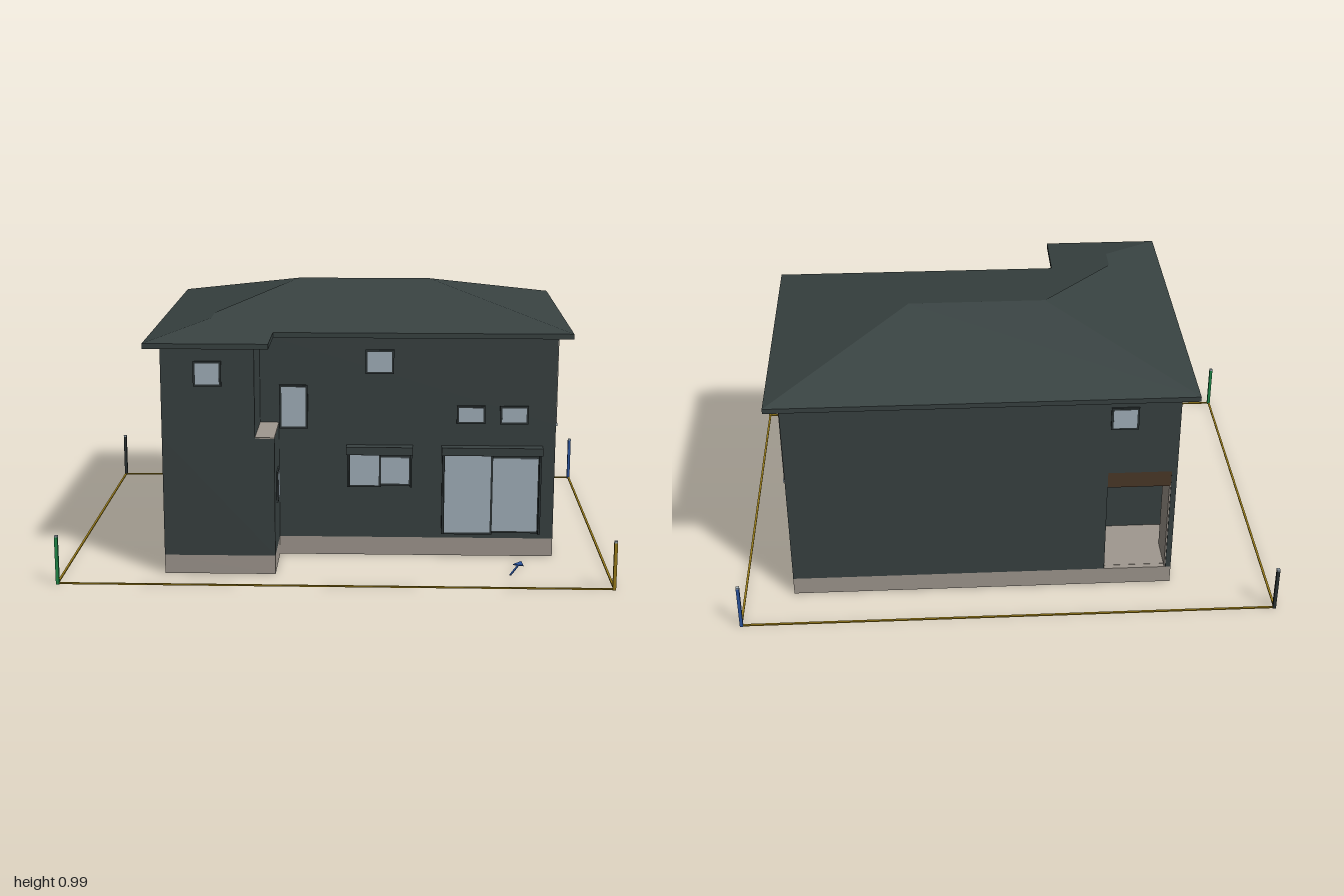
import * as THREE from 'three';

const mat = (name, color) => Object.assign(new THREE.MeshStandardMaterial({ color }), { name });

export function createModel() {
  const M = {
    wall: mat('dark wall', 0x384141),
    roof: mat('roof', 0x384241),
    beige: mat('beige concrete', 0xa0988f),
    glass: mat('glass', 0xa3b2bc),
    trim: mat('dark trim', 0x2b3233),
    wood: mat('brown wood', 0x4b3828),
    floor: mat('dark brown floor', 0x3a2a22),
    green: mat('green', 0x1f8a48),
    yellow: mat('yellow', 0x9a7d1a),
    blue: mat('blue', 0x2a55a0),
  };
  const root = new THREE.Group();
  root.name = 'house';

  const add = (name, geo, m) => {
    const mesh = new THREE.Mesh(geo, m);
    mesh.name = name;
    root.add(mesh);
    return mesh;
  };
  // box from its limits
  const box = (name, m, x0, x1, y0, y1, z0, z1) => {
    const g = new THREE.BoxGeometry(x1 - x0, y1 - y0, z1 - z0);
    g.translate((x0 + x1) / 2, (y0 + y1) / 2, (z0 + z1) / 2);
    return add(name, g, m);
  };
  // floor plan of [x, z] corners raised from y0 to y1
  const plan = (name, m, pts, y0, y1, hole) => {
    const v = (list) => list.map(([x, z]) => new THREE.Vector2(x, -z));
    const shape = new THREE.Shape(v(pts));
    if (hole) shape.holes.push(new THREE.Path(v(hole)));
    const g = new THREE.ExtrudeGeometry(shape, { depth: y1 - y0, bevelEnabled: false });
    g.rotateX(-Math.PI / 2).translate(0, y0, 0);
    return add(name, g, m);
  };

  // L-shaped outline with the wing at the front, inset by t
  const ell = (x0, x1, z0, z1, wx, wz, t = 0) => [
    [x0 + t, z0 + t], [x1 - t, z0 + t], [x1 - t, z1 - t],
    [wx - t, z1 - t], [wx - t, wz - t], [x0 + t, wz - t],
  ];
  const X0 = -0.625, X1 = 0.81, Z0 = -0.55, Z1 = 0.365, WX = -0.22, WZ = 0.6;

  // foundation ring and floor
  plan('foundation', M.beige, ell(X0, X1, Z0, Z1, WX, WZ), 0, 0.07, ell(X0, X1, Z0, Z1, WX, WZ, 0.035));
  plan('floor', M.floor, ell(X0, X1, Z0, Z1, WX, WZ, 0.03), 0.055, 0.069);

  // lower storey with the porch notch, upper storey
  plan('lowerWalls', M.wall, [
    [X0, WZ], [WX, WZ], [WX, Z1], [X1, Z1], [X1, Z0], [-0.37, Z0], [-0.37, -0.28], [X0, -0.28],
  ], 0.07, 0.51);
  plan('upperWalls', M.wall, ell(X0, X1, Z0, Z1, -0.29, WZ), 0.51, 0.85);
  box('wingLedge', M.beige, -0.29, WX, 0.51, 0.514, Z1, WZ);

  // porch
  box('porchSlab', M.beige, X0 + 0.02, -0.37, 0.015, 0.071, Z0 + 0.02, -0.28);
  box('porchCeiling', M.wood, X0 + 0.001, -0.37, 0.445, 0.51, Z0 + 0.001, -0.28);
  box('porchPillar', M.wall, X0, X0 + 0.02, 0.07, 0.51, Z0, -0.4);
  box('porchPillarLining', M.beige, X0 + 0.02, X0 + 0.025, 0.07, 0.445, Z0 + 0.004, -0.402);

  // light upper cladding on the side
  box('sideCladding', M.beige, X1, X1 + 0.003, 0.515, 0.85, -0.54, 0.36);
  box('claddingFlashing', M.glass, X1, X1 + 0.006, 0.507, 0.516, -0.54, 0.36);

  // windows: a thin frame and a pane; axis and direction give the facing
  const pane = (axis, dir, at, u0, u1, y0, y1, base = 0) => {
    const plate = (name, m, p, d0, d1) => {
      const a = Math.min(at + dir * d0, at + dir * d1), b = Math.max(at + dir * d0, at + dir * d1);
      if (axis === 'z') box(name, m, u0 - p, u1 + p, y0 - p, y1 + p, a, b);
      else box(name, m, a, b, y0 - p, y1 + p, u0 - p, u1 + p);
    };
    plate('windowFrame', M.trim, 0.008, base, base + 0.006);
    plate('windowPane', M.glass, 0, base + 0.006, base + 0.008);
  };
  pane('z', 1, WZ, -0.5, -0.415, 0.71, 0.785);
  pane('z', 1, Z1, 0.11, 0.2, 0.71, 0.785);
  pane('z', 1, Z1, -0.21, -0.12, 0.5, 0.65);
  pane('z', 1, Z1, 0.45, 0.54, 0.522, 0.575);
  pane('z', 1, Z1, 0.61, 0.7, 0.522, 0.575);
  pane('x', 1, WX, 0.44, 0.51, 0.255, 0.355);
  pane('x', 1, X1, -0.368, -0.336, 0.255, 0.355);
  pane('z', -1, Z0, -0.465, -0.38, 0.71, 0.785);
  pane('x', -1, X0, -0.39, -0.31, 0.71, 0.785);
  pane('x', -1, X0, 0.235, 0.315, 0.71, 0.785);

  // sliding windows with a shutter box above
  const sliding = (x0, x1, y0) => {
    const mid = (x0 + x1) / 2;
    pane('z', 1, Z1, x0 + 0.01, mid - 0.003, y0 + 0.005, 0.393, 0.006);
    pane('z', 1, Z1, mid + 0.005, x1 - 0.012, y0 + 0.01, 0.383);
    for (const x of [x0, x1 - 0.008]) box('shutterRail', M.trim, x, x + 0.008, y0, 0.4, Z1, Z1 + 0.022);
    box('shutterBox', M.wall, x0 - 0.003, x1 + 0.003, 0.4, 0.43, Z1, Z1 + 0.04);
  };
  sliding(0.035, 0.278, 0.272);
  sliding(0.39, 0.76, 0.09);

  // hipped roof: eaves slab and equal slopes
  const eave = 0.864, slope = 0.247;
  const eaves = ell(-0.68, 0.86, -0.61, 0.42, -0.235, 0.65);
  plan('eaves', M.roof, eaves, 0.845, eave);
  const [A, B, C, D, E, F] = eaves.map(([x, z]) => [x, eave, z]);
  const half = 0.515, wingHalf = 0.2225;
  const peak = (x, z, d) => [x, eave + slope * d, z];
  const R1 = peak(-0.68 + half, -0.095, half), R2 = peak(0.86 - half, -0.095, half);
  const W1 = peak(-0.4575, 0.65 - wingHalf, wingHalf), W2 = peak(-0.4575, 0.42 - wingHalf, wingHalf);
  const pos = [];
  for (const f of [[A, R1, R2, B], [B, R2, C], [C, R2, R1, W2, D], [D, W2, W1, E], [E, W1, F], [F, W1, W2, R1, A]])
    for (let i = 1; i < f.length - 1; i++) pos.push(...f[0], ...f[i], ...f[i + 1]);
  const roofGeo = new THREE.BufferGeometry();
  roofGeo.setAttribute('position', new THREE.Float32BufferAttribute(pos, 3));
  roofGeo.computeVertexNormals();
  add('roof', roofGeo, M.roof);

  // plot boundary lines and corner posts
  const PX = 0.995, PZ = 0.73, r = 0.004;
  for (const s of [-1, 1]) {
    box('boundaryLine', M.yellow, -PX, PX, 0, 0.005, s * PZ - r, s * PZ + r);
    box('boundaryLine', M.yellow, s * PX - r, s * PX + r, 0, 0.005, -PZ, PZ);
  }
  for (const [sx, sz, m] of [[-1, 1, M.green], [1, 1, M.yellow], [1, -1, M.blue], [-1, -1, M.trim]]) {
    const x = sx * (PX - 0.001), z = sz * PZ;
    box('cornerPost', m, x - 0.006, x + 0.006, 0, 0.175, z - 0.006, z + 0.006);
    box('postCap', M.glass, x - 0.006, x + 0.006, 0.175, 0.181, z - 0.006, z + 0.006);
  }

  // flat ground arrow pointing to the house
  const arrow = new THREE.Shape([
    [-0.003, 0], [0.003, 0], [0.003, 0.115], [0.02, 0.115], [0, 0.16], [-0.02, 0.115], [-0.003, 0.115],
  ].map(([x, y]) => new THREE.Vector2(x, y)));
  const arrowGeo = new THREE.ExtrudeGeometry(arrow, { depth: 0.004, bevelEnabled: false });
  arrowGeo.rotateX(-Math.PI / 2).rotateY(-0.33).translate(0.637, 0, 0.588);
  add('groundArrow', arrowGeo, M.blue);

  return root;
}
